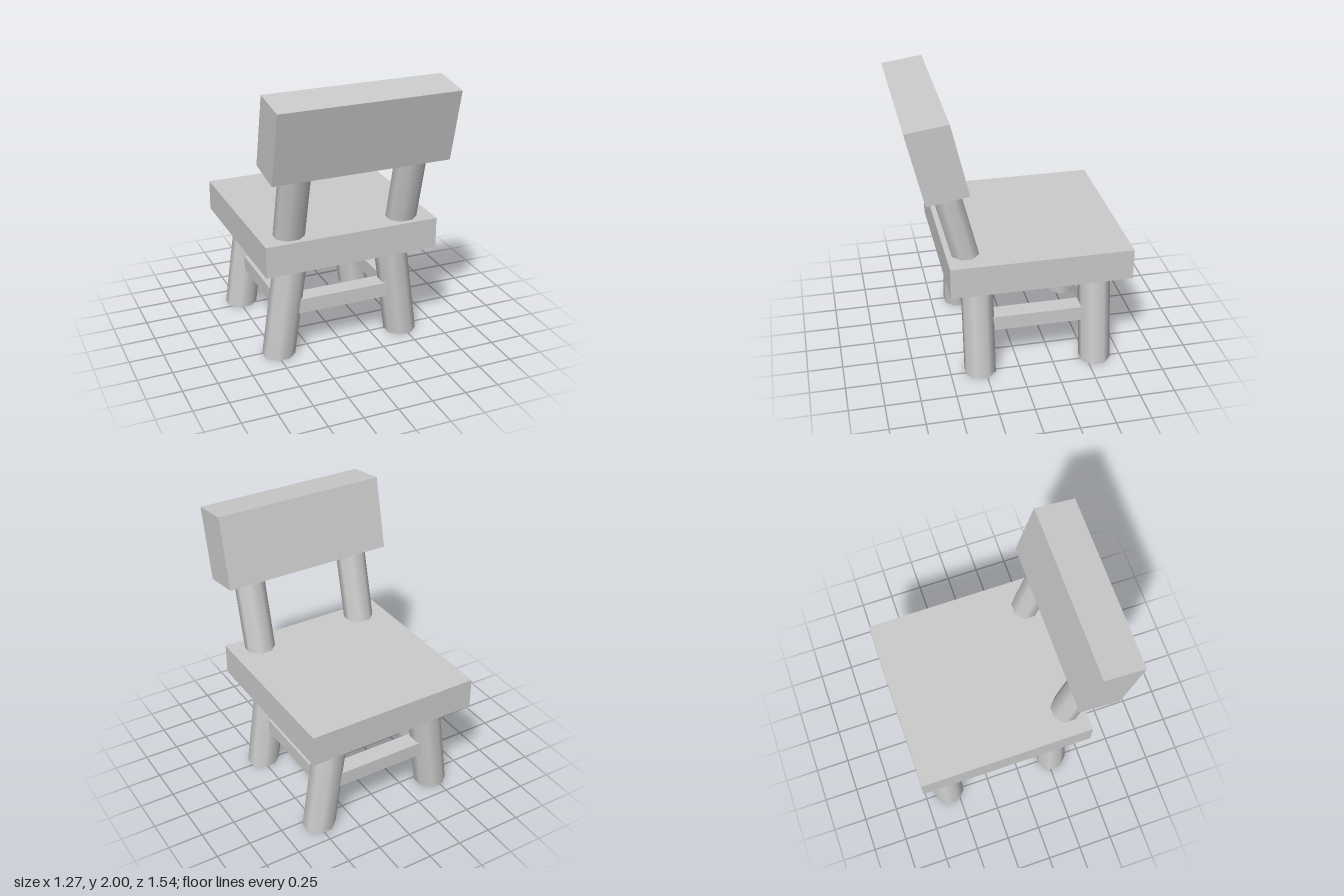
import * as THREE from 'three';

const material = new THREE.MeshStandardMaterial({ color: 0xcccccc });

function addMesh(parent, geometry, name) {
  const mesh = new THREE.Mesh(geometry, material);
  mesh.name = name;
  parent.add(mesh);
  return mesh;
}

// Box given by its lower and upper corners
function addBox(parent, name, min, max) {
  const size = max.map((v, i) => v - min[i]);
  const mesh = addMesh(parent, new THREE.BoxGeometry(...size), name);
  mesh.position.set(...max.map((v, i) => (v + min[i]) / 2));
}

// Octagonal pole with level ends, slanted from one centre point to another
function addPole(parent, name, from, to, width, depth) {
  const height = to[1] - from[1];
  const radius = 0.5 / Math.cos(Math.PI / 8);
  const geometry = new THREE.CylinderGeometry(radius, radius, height, 8, 1, false, Math.PI / 8);
  geometry.scale(width, 1, depth);
  geometry.translate(0, height / 2, 0);
  geometry.applyMatrix4(new THREE.Matrix4().set(
    1, (to[0] - from[0]) / height, 0, from[0],
    0, 1, 0, from[1],
    0, (to[2] - from[2]) / height, 1, from[2],
    0, 0, 0, 1));
  addMesh(parent, geometry, name);
}

export function createModel() {
  const chair = new THREE.Group();
  chair.name = 'chair';

  // Seat slab
  addBox(chair, 'seat', [-0.635, 0.73, -0.77], [0.635, 0.955, 0.505]);

  // Leaning backrest block, drawn in side profile (z, y) and extruded along x
  const profile = new THREE.Shape([[0.77, 1.96], [0.48, 2.0], [0.36, 1.49], [0.65, 1.445]]
    .map(([z, y]) => new THREE.Vector2(-z, y)));
  const back = new THREE.ExtrudeGeometry(profile, { depth: 1.27, bevelEnabled: false });
  back.translate(0, 0, -0.635);
  back.rotateY(Math.PI / 2);
  addMesh(chair, back, 'backrest');

  for (const side of [1, -1]) {
    const label = side > 0 ? 'left' : 'right';

    // Splayed legs
    for (const [end, z] of [['Backrest', 0.285], ['Open', -0.563]]) {
      addPole(chair, `${label}${end}Leg`, [side * 0.48, 0, z], [side * 0.378, 0.745, z], 0.22, 0.213);
    }

    // Posts carrying the backrest
    addPole(chair, `${label}BackPost`, [side * 0.422, 0.9, 0.357], [side * 0.422, 1.55, 0.52], 0.205, 0.189);

    // Side stretchers
    const xs = [side * 0.345, side * 0.475].sort((a, b) => a - b);
    addBox(chair, `${label}Stretcher`, [xs[0], 0.322, -0.563], [xs[1], 0.43, 0.285]);
  }

  // Cross stretchers
  for (const [name, z0, z1] of [['backrestStretcher', 0.22, 0.35], ['openStretcher', -0.627, -0.497]]) {
    addBox(chair, name, [-0.42, 0.322, z0], [0.42, 0.43, z1]);
  }

  return chair;
}
